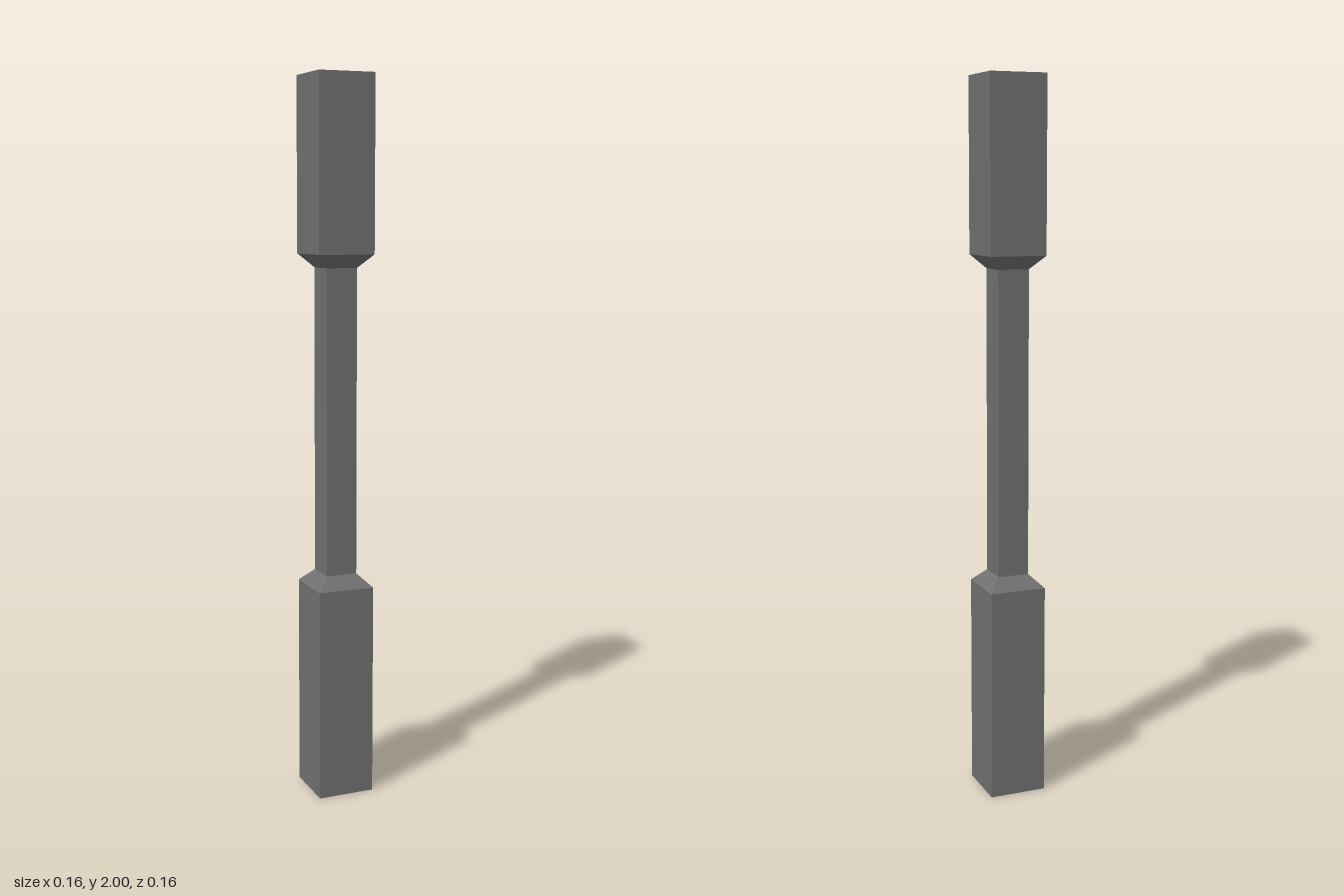
import * as THREE from 'three';

const BLOCK = 0.0805; // half width of the end blocks
const SHAFT = 0.0445; // half width of the slim middle

export function createModel() {
  const group = new THREE.Group();
  group.name = 'baluster';
  const material = new THREE.MeshStandardMaterial({
    color: 0x707070, flatShading: true, side: THREE.DoubleSide,
  });

  // Open square section between two heights, with its own half width at each end
  function section(name, y0, y1, half0, half1) {
    const geometry = new THREE.CylinderGeometry(
      half1 * Math.SQRT2, half0 * Math.SQRT2, y1 - y0, 4, 1, true);
    geometry.rotateY(Math.PI / 4);
    geometry.translate(0, (y0 + y1) / 2, 0);
    const mesh = new THREE.Mesh(geometry, material);
    mesh.name = name;
    group.add(mesh);
  }

  section('lowerBlock', 0, 0.6, BLOCK, BLOCK);
  section('lowerBevel', 0.6, 0.636, BLOCK, SHAFT);
  section('shaft', 0.636, 1.488, SHAFT, SHAFT);
  section('upperBevel', 1.488, 1.525, SHAFT, BLOCK);
  section('upperBlock', 1.525, 2, BLOCK, BLOCK);

  // Closed top; the underside stays open
  const cap = new THREE.Mesh(new THREE.PlaneGeometry(BLOCK * 2, BLOCK * 2), material);
  cap.name = 'topCap';
  cap.rotation.x = -Math.PI / 2;
  cap.position.y = 2;
  group.add(cap);

  return group;
}
